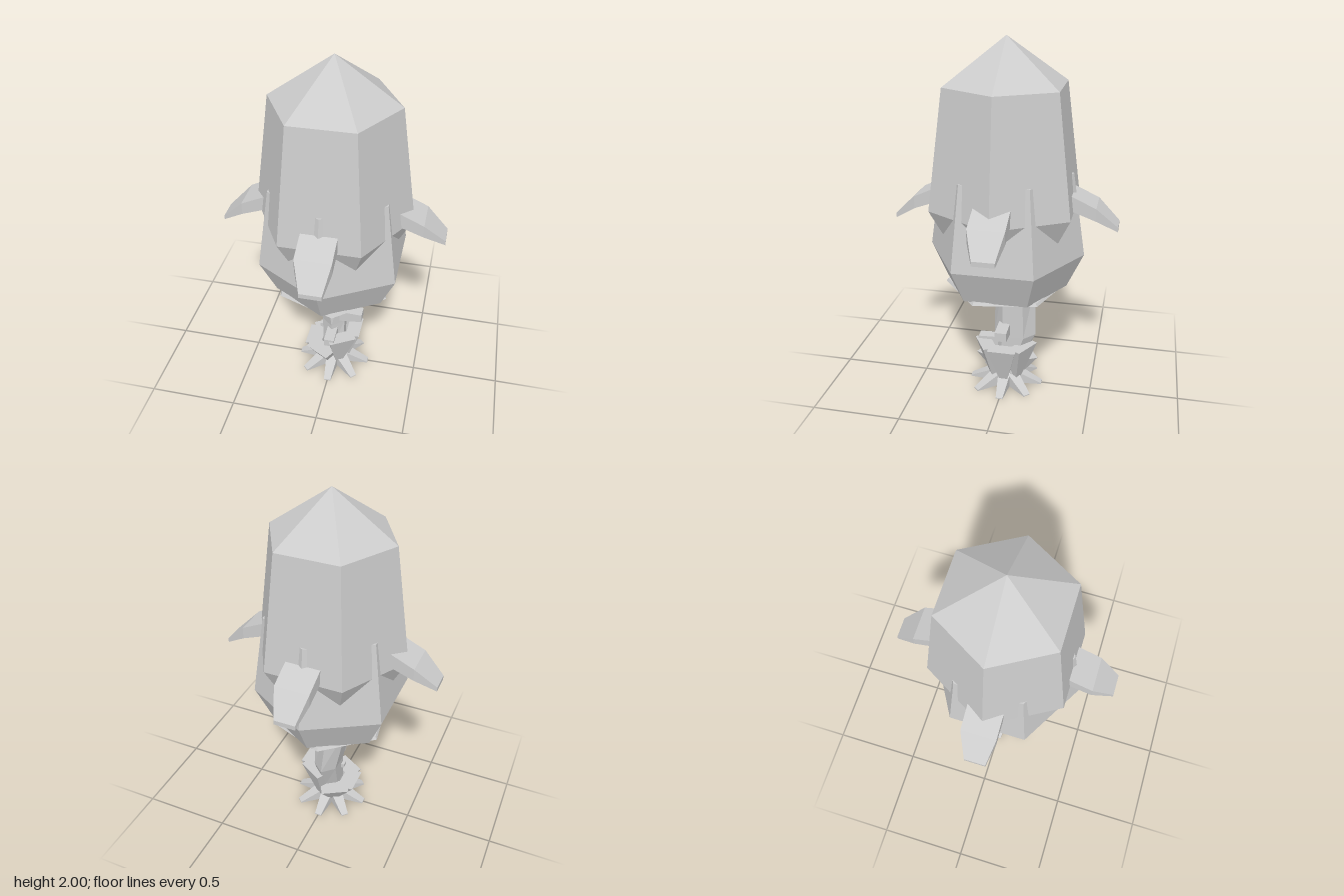
import * as THREE from 'three';

const material = new THREE.MeshStandardMaterial({ color: 0xcccccc, flatShading: true });

// Skin a row of matching cross-sections, each counter-clockwise seen from the end of the row, and cap both ends
function loft(rings) {
  const pos = [];
  const tri = (a, b, c) => pos.push(...a, ...b, ...c);
  const n = rings[0].length;
  for (let i = 0; i < rings.length - 1; i++) {
    for (let j = 0; j < n; j++) {
      const k = (j + 1) % n;
      const a = rings[i][j], b = rings[i][k], c = rings[i + 1][k], d = rings[i + 1][j];
      tri(a, b, c);
      tri(a, c, d);
    }
  }
  const first = rings[0], last = rings[rings.length - 1];
  for (let j = 1; j < n - 1; j++) {
    tri(first[0], first[j + 1], first[j]);
    tri(last[0], last[j], last[j + 1]);
  }
  const g = new THREE.BufferGeometry();
  g.setAttribute('position', new THREE.Float32BufferAttribute(pos, 3));
  g.computeVertexNormals();
  return g;
}

// Level six-sided ring
const hexRing = (y, rx, rz, turn, cx = 0, cz = 0) => Array.from({ length: 6 }, (_, i) => {
  const a = turn + i * Math.PI / 3;
  return [cx + rx * Math.sin(a), y, cz + rz * Math.cos(a)];
});

// Stack of regular hexagons from [radius, height] pairs
const hexStack = (profile, turn) => loft(profile.map(([r, y]) => hexRing(y, r, r, turn)));

// Rectangle across the x axis, and level rectangle
const crossX = (x, y0, y1, z0, z1) => [[x, y1, z0], [x, y1, z1], [x, y0, z1], [x, y0, z0]];
const levelRect = (y, x0, x1, w) => [[x0, y, w], [x1, y, w], [x1, y, -w], [x0, y, -w]];

export function createModel() {
  const model = new THREE.Group();
  const add = (name, geometry, angle = 0) => {
    const mesh = new THREE.Mesh(geometry, material);
    mesh.name = name;
    mesh.rotation.y = angle;
    model.add(mesh);
    return mesh;
  };

  // Two interlocking hexagonal hulls, turned 30 degrees to each other
  add('upperHull', hexStack([[0.28, 0.84], [0.43, 1.12], [0.34, 1.76], [0, 2]], Math.PI / 6));
  add('lowerHull', hexStack([[0.34, 0.655], [0.43, 0.85], [0.36, 1.31]], 0));
  add('hullBase', hexStack([[0.175, 0.595], [0.34, 0.645], [0.33, 0.66]], 0.17));

  // Four drooping petals
  const petal = loft([
    crossX(0.34, 1.14, 1.222, -0.095, 0.095),
    crossX(0.49, 1.085, 1.153, -0.095, 0.095),
    crossX(0.605, 1.015, 1.04, -0.07, 0.045),
  ]);
  for (let i = 0; i < 4; i++) add('petal', petal, i * Math.PI / 2);

  // Trunk, bent backward below the hull
  add('trunk', loft([
    hexRing(0, 0.075, 0.075, 0),
    hexRing(0.15, 0.07, 0.085, 0, 0, -0.01),
    hexRing(0.32, 0.077, 0.12, 0, -0.003, -0.05),
    hexRing(0.63, 0.11, 0.115, 0, -0.035, -0.045),
  ]));

  // Stubby twigs
  const twig = (x0, x1, y0, y1, w) => loft([
    crossX(x0, y0 - 0.008, y1 + 0.005, -w, w),
    crossX(x1, y0 + 0.008, y1, -w, w),
  ]);
  add('leftTwig', twig(0.03, 0.17, 0.345, 0.405, 0.033));
  add('frontTwig', twig(0.03, 0.16, 0.235, 0.29, 0.03), -Math.PI / 2);
  add('rightTwig', twig(0.03, 0.085, 0.245, 0.275, 0.015), Math.PI);

  // Flaring bark shards in two tiers
  const upperShard = loft([levelRect(0.05, 0.05, 0.095, 0.022), levelRect(0.275, 0.085, 0.165, 0.08)]);
  const lowerShard = loft([levelRect(0.03, 0.05, 0.085, 0.022), levelRect(0.157, 0.07, 0.165, 0.08)]);
  for (let i = -1; i <= 1; i++) {
    add('upperShard', upperShard, i * Math.PI / 3);
    add('lowerShard', lowerShard, Math.PI + i * Math.PI / 3);
  }

  // Star of pointed roots
  const root = loft([crossX(0.02, 0, 0.1, -0.04, 0.04), crossX(0.212, 0, 0.006, -0.02, 0.02)]);
  for (let i = 0; i < 8; i++) add('root', root, i * Math.PI / 4);

  return model;
}
